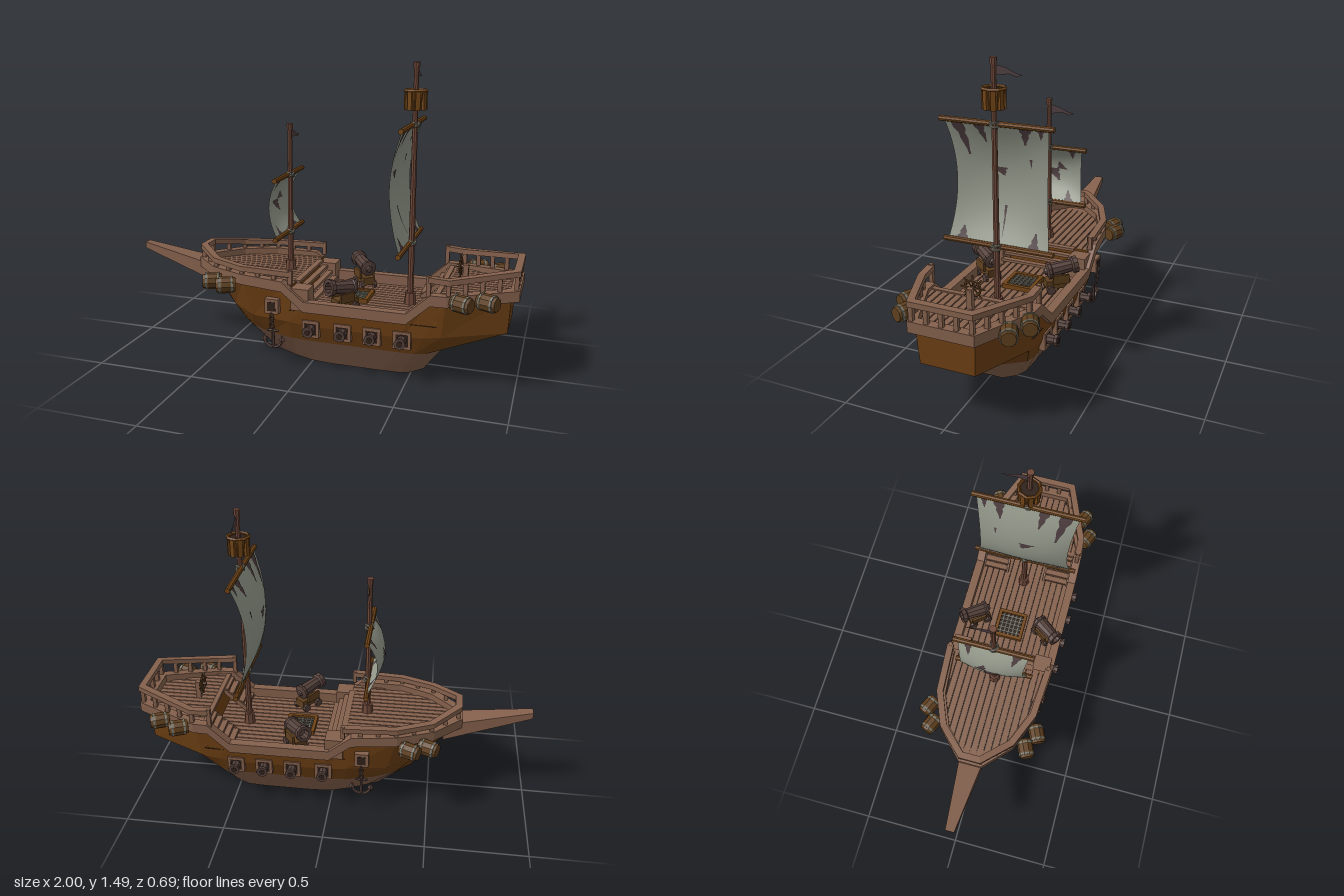
import * as THREE from 'three';

const mat = (name, color, double) => {
  const m = new THREE.MeshStandardMaterial({ color });
  m.name = name;
  if (double) m.side = THREE.DoubleSide;
  return m;
};
const M = {
  hull: mat('hull brown', 0x6e4014, true), wood: mat('weathered wood', 0x84604c, true),
  mast: mat('mast wood', 0x70493a), yard: mat('yard brown', 0x704416),
  sail: mat('sail canvas', 0x93988a, true), torn: mat('torn cloth', 0x4c3c3e, true),
  iron: mat('old iron', 0x54403a), dark: mat('dark gap', 0x2e2019, true),
  rope: mat('rope grey', 0x77766a), barrel: mat('barrel wood', 0x5e3f1e),
};
const V = (x, y, z) => new THREE.Vector3(x, y, z);
const flat = (g) => {
  const f = g.index ? g.toNonIndexed() : g;
  f.computeVertexNormals();
  return f;
};
function add(parent, name, geo, material, p = [0, 0, 0], r = [0, 0, 0], smooth) {
  const m = new THREE.Mesh(smooth ? geo : flat(geo), material);
  m.name = name;
  m.position.set(...p);
  m.rotation.set(...r);
  parent.add(m);
  return m;
}
const group = (parent, name, p = [0, 0, 0], ry = 0) => {
  const g = new THREE.Group();
  g.name = name;
  g.position.set(...p);
  g.rotation.y = ry;
  parent.add(g);
  return g;
};
const box = (x, y, z) => new THREE.BoxGeometry(x, y, z);
const cyl = (a, b, h, n = 8) => new THREE.CylinderGeometry(a, b, h, n);
const mirror = (side) => side.map((p) => V(p.x, p.y, -p.z)).reverse();

// Skin between rows of points
function loft(rows, closed, capFirst) {
  const pos = [], tri = (...ps) => ps.forEach((p) => pos.push(p.x, p.y, p.z));
  const n = rows[0].length;
  for (let r = 0; r + 1 < rows.length; r++)
    for (let i = 0; i < (closed ? n : n - 1); i++) {
      const j = (i + 1) % n, A = rows[r], B = rows[r + 1];
      tri(A[i], A[j], B[j]);
      tri(A[i], B[j], B[i]);
    }
  if (capFirst) for (let i = 1; i + 1 < n; i++) tri(rows[0][0], rows[0][i + 1], rows[0][i]);
  const g = new THREE.BufferGeometry();
  g.setAttribute('position', new THREE.Float32BufferAttribute(pos, 3));
  return g;
}

// Rectangular timber following a path, mitred in plan
function timber(path, w, h, closed) {
  const n = path.length;
  const seg = (a, b) => { const d = b.clone().sub(a).setY(0).normalize(); return V(-d.z, 0, d.x); };
  const side = path.map((p, i) => {
    const hasPrev = closed || i > 0, hasNext = closed || i < n - 1;
    const b = hasNext ? seg(p, path[(i + 1) % n]) : seg(path[i - 1], p);
    const a = hasPrev ? seg(path[(i + n - 1) % n], p) : b;
    return a.clone().add(b).divideScalar(1 + a.dot(b));
  });
  const row = (o, u) => path.map((p, i) => p.clone().addScaledVector(side[i], o * w / 2).add(V(0, u * h / 2, 0)));
  return loft([row(1, -1), row(1, 1), row(-1, 1), row(-1, -1), row(1, -1)], closed);
}

// Half outlines from bow to stern: keel, waterline, knuckle and top
const keel = [[-.235, .03], [-.18, .06], [-.1, .1], [0, .135], [.1, .145], [.35, .145], [.45, .14], [.5, .12], [.55, .06]].map(([x, z]) => V(x, 0, z));
const water = [[-.405, .035], [-.33, .11], [-.22, .17], [-.08, .21], [.03, .218], [.45, .218], [.53, .215], [.58, .2], [.65, .1]].map(([x, z]) => V(x, .14, z));
const knuckle = [[-.51, .28, .04], [-.42, .26, .14], [-.29, .24, .215], [-.09, .24, .25], [.02, .23, .253], [.48, .23, .253], [.58, .24, .25], [.66, .25, .245], [.95, .265, .13]].map((p) => V(...p));
const top = [[-.63, .42, .05], [-.5, .42, .175], [-.33, .42, .245], [-.11, .42, .265], [0, .33, .267], [.5, .33, .267], [.61, .43, .265], [.68, .43, .262], [.96, .45, .14]].map((p) => V(...p));
const ring = (side) => [...side, ...mirror(side)];

function halfWidth(x) {
  for (let i = 0; i + 1 < top.length; i++) {
    const a = top[i], b = top[i + 1];
    if (x >= a.x && x <= b.x) return a.z + (b.z - a.z) * (x - a.x) / (b.x - a.x);
  }
  return 0;
}

function buildHull(ship) {
  const g = group(ship, 'hull');
  add(g, 'lowerHull', loft([ring(keel), ring(water)], true, true), M.wood);
  add(g, 'upperHull', loft([ring(water), ring(knuckle), ring(top)], true), M.hull);
  const gun = top.map((p, i) => V(p.x + (i === 8 ? .015 : 0), p.y + (i < 3 ? .018 : .008), p.z));
  add(g, 'gunwale', timber(ring(gun), .044, .052, true), M.wood);
  // Bowsprit: a box narrowed and raised toward its tip
  const b = box(.44, 1, 1), p = b.attributes.position;
  for (let i = 0; i < p.count; i++) {
    const tip = p.getX(i) < 0, up = p.getY(i) > 0;
    p.setXYZ(i, tip ? -1 : -.56, tip ? (up ? .505 : .472) : (up ? .425 : .335), Math.sign(p.getZ(i)) * (tip ? .023 : .068));
  }
  add(g, 'bowsprit', b, M.wood);
}

// Deck: dark base with separate planks clipped to the outline
function buildDeck(ship, name, x0, x1, y) {
  const g = group(ship, name), pts = [];
  for (let i = 0; i <= 24; i++) { const x = x0 + (x1 - x0) * i / 24; pts.push(V(x, y - .006, halfWidth(x) - .005)); }
  const shape = new THREE.Shape([...pts, ...mirror(pts)].map((p) => new THREE.Vector2(p.x, -p.z)));
  add(g, 'deckBase', new THREE.ShapeGeometry(shape), M.dark, [0, y - .006, 0], [-Math.PI / 2, 0, 0]);
  for (let k = -7; k <= 7; k++) {
    const z = k * .034, edge = Math.abs(z) + .015;
    let a = x0, b = x1;
    while (a < b && halfWidth(a) < edge) a += .005;
    while (b > a && halfWidth(b) < edge) b -= .005;
    if (b - a > .03) add(g, 'plank', box(b - a, .012, .028), M.wood, [(a + b) / 2, y - .005, z]);
  }
}

function buildRail(ship, name, path) {
  const g = group(ship, name);
  add(g, 'handrail', timber(path, .034, .026), M.wood);
  const post = (p, ext = 0) => {
    const base = p.x < 0 ? .44 : .445, h = p.y - base + ext;
    add(g, 'railPost', box(.02, h, .02), M.wood, [p.x, base + h / 2, p.z]);
  };
  path.forEach((p, i) => {
    const end = i === 0 || i === path.length - 1;
    post(p, end ? .016 : 0);
    if (i + 1 === path.length) return;
    const n = Math.max(1, Math.round(p.distanceTo(path[i + 1]) / .08));
    for (let k = 1; k < n; k++) post(p.clone().lerp(path[i + 1], k / n));
  });
}

// Mast with two yards and a bellied, torn sail
function buildRig(ship, name, o) {
  const g = group(ship, name, [o.x, 0, 0]);
  add(g, 'mast', cyl(.012, .016, o.top - o.base), M.mast, [0, (o.top + o.base) / 2, 0]);
  add(g, 'mastCollar', cyl(.026, .03, .06), M.mast, [0, o.base + .03, 0]);
  add(g, 'mastCap', cyl(.017, .015, .03), M.mast, [0, o.top - .015, 0]);
  for (const y of [o.hi, o.lo]) {
    add(g, 'yard', cyl(.013, .013, o.w * 2), M.yard, [-.008, y, 0], [Math.PI / 2, 0, 0]);
    for (const t of [-.4, .4]) add(g, 'lashing', new THREE.TorusGeometry(.021, .006, 5, 10), M.rope, [0, y, 0], [Math.PI / 2 + t, t, 0]);
  }
  const mid = (o.hi + o.lo) / 2, h = (o.hi - o.lo) / 2 - .012, w = o.w - .025;
  const at = (u, v, off = 0) => V(-.012 - o.belly * (1 - v * v) * (.62 + .38 * (1 - u * u)) + off, mid + v * h, u * w * (1 - .1 * (1 - v * v)));
  const bend = (geo, map) => {
    const p = geo.attributes.position;
    for (let i = 0; i < p.count; i++) { const q = map(p.getX(i), p.getY(i)); p.setXYZ(i, q.x, q.y, q.z); }
    geo.computeVertexNormals();
    return geo;
  };
  add(g, 'sail', bend(new THREE.PlaneGeometry(2, 2, 16, 16), (u, v) => at(u, v)), M.sail, [0, 0, 0], [0, 0, 0], true);
  // Tears taper from a wide edge to a tip
  for (const [u, v, du, dv, lean] of o.tears) for (const off of [.003, -.003])
    add(g, 'tear', bend(new THREE.PlaneGeometry(1, 1, 2, 6), (a, b) => {
      const t = b + .5, wob = 1 + .25 * Math.sin(t * 14);
      return at(u + lean * t + a * du * (1 - .85 * t) * wob, v + dv * t, off);
    }), M.torn, [0, 0, 0], [0, 0, 0], true);
  const f = new THREE.Shape([[0, .025], [.05, .014], [.09, -.004], [.125, -.012], [.1, -.022], [.06, -.012], [0, -.022]].map((p) => new THREE.Vector2(...p)));
  add(g, 'flag', new THREE.ShapeGeometry(f), M.torn, [0, o.top - .055, -.01], [0, Math.PI / 2, 0]);
  return g;
}

function buildBarrel(ship, x, y, z, ry) {
  const g = group(ship, 'barrel', [x, y, z], ry), turn = [0, 0, Math.PI / 2];
  const prof = [[0, -.048], [.033, -.048], [.041, -.02], [.041, .02], [.033, .048], [0, .048]].map((p) => new THREE.Vector2(...p));
  add(g, 'barrelBody', new THREE.LatheGeometry(prof, 10), M.barrel, [0, 0, 0], turn);
  for (const d of [-.03, .03]) add(g, 'hoop', cyl(.0415, .0415, .01, 10), M.rope, [d, 0, 0], turn);
}

function buildDeckCannon(ship, s) {
  const g = group(ship, 'deckCannon', [.175, .31, s * .195], -Math.atan2(s * .13, -.1));
  add(g, 'carriage', box(.12, .04, .06), M.barrel, [-.01, .045, 0]);
  for (const z of [-.036, .036]) {
    add(g, 'carriageCheek', box(.08, .045, .012), M.barrel, [0, .075, z]);
    for (const x of [-.05, .035]) add(g, 'wheel', cyl(.022, .022, .014), M.iron, [x, .022, z], [Math.PI / 2, 0, 0]);
  }
  const prof = [[0, -.09], [.015, -.085], [.018, -.075], [.042, -.068], [.042, -.055], [.036, -.05], [.031, .05], [.042, .058], [.042, .08], [.026, .08], [.024, .04], [0, .04]];
  add(g, 'barrelTube', new THREE.LatheGeometry(prof.map((p) => new THREE.Vector2(...p)), 10), M.iron, [.01, .12, 0], [0, 0, -Math.PI / 2 + .15]);
}

function buildSide(ship, s) {
  // Gunports
  for (const x of [.03, .19, .335, .48]) {
    const g = group(ship, 'gunport', [x, .22, s * .25]);
    for (const d of [-.036, .036]) {
      add(g, 'portFrame', box(.014, .086, .03), M.wood, [d, 0, 0]);
      add(g, 'portFrame', box(.086, .014, .03), M.wood, [0, d, 0]);
    }
    add(g, 'portOpening', box(.066, .066, .008), M.dark, [0, 0, s * .005]);
    add(g, 'muzzle', cyl(.02, .024, .06), M.iron, [0, 0, s * .03], [s * Math.PI / 2, 0, 0]);
    add(g, 'muzzleRing', cyl(.028, .028, .016), M.iron, [0, 0, s * .054], [Math.PI / 2, 0, 0]);
    add(g, 'bore', cyl(.016, .016, .004), M.dark, [0, 0, s * .062], [Math.PI / 2, 0, 0]);
  }
  // Anchor on its chain
  const a = group(ship, 'anchor', [-.165, 0, s * .262]);
  add(a, 'anchorMount', box(.07, .075, .04), M.wood, [0, .32, 0]);
  add(a, 'mountOpening', box(.042, .046, .006), M.dark, [0, .32, s * .019]);
  for (let i = 0; i < 5; i++) add(a, 'chainLink', new THREE.TorusGeometry(.012, .004, 5, 8), M.iron, [0, .295 - i * .019, s * .016], [0, (i % 2) * 1.3, 0]);
  add(a, 'shank', cyl(.007, .009, .1, 6), M.iron, [0, .155, 0]);
  add(a, 'stock', cyl(.006, .006, .06, 6), M.iron, [0, .19, 0], [0, 0, Math.PI / 2]);
  add(a, 'anchorArms', new THREE.TorusGeometry(.047, .008, 5, 10, Math.PI), M.iron, [0, .15, 0], [0, 0, Math.PI]);
  for (const d of [-1, 1]) add(a, 'fluke', new THREE.ConeGeometry(.017, .03, 4), M.iron, [d * .047, .155, 0]);
  // Barrels slung outside the rails
  for (const [x, y, z, r] of [[-.49, .41, .255, .42], [-.4, .41, .292, .42], [.755, .442, .292, -.42], [.865, .445, .245, -.42]])
    buildBarrel(ship, x, y, s * z, s * r);
  buildDeckCannon(ship, s);
  // Stairs to the stern deck
  const st = group(ship, 'sternStairs', [0, 0, s * .175]);
  for (let i = 0; i < 5; i++) add(st, 'step', box(.03, .014, .13), M.wood, [.51 + i * .027, .33 + i * .024, 0]);
  for (const z of [-.068, .068]) add(st, 'stringer', box(.18, .022, .012), M.wood, [.565, .37, z], [0, 0, .73]);
  add(ship, 'foreStepBlock', box(.09, .11, .09), M.wood, [-.025, .365, s * .225]);
}

export function createModel() {
  const ship = new THREE.Group();
  ship.name = 'sailingShip';
  buildHull(ship);
  buildDeck(ship, 'foreDeck', -.62, -.07, .43);
  buildDeck(ship, 'mainDeck', -.08, .64, .31);
  buildDeck(ship, 'sternDeck', .63, .955, .445);
  add(ship, 'foreBulkhead', box(.015, .13, .51), M.hull, [-.075, .365, 0]);
  add(ship, 'sternBulkhead', box(.015, .135, .51), M.hull, [.632, .375, 0]);
  add(ship, 'sternBeam', box(.025, .016, .5), M.wood, [.632, .444, 0]);
  for (let i = 0; i < 4; i++) add(ship, 'foreStep', box(.03, .014, .37), M.wood, [-.065 + i * .027, .428 - i * .028, 0]);
  buildRail(ship, 'foreRail', ((s) => [...mirror(s), ...s])([V(-.63, .522, .05), V(-.5, .498, .18), V(-.33, .492, .25), V(-.07, .492, .268)]));
  buildRail(ship, 'sternRail', ring([V(.6, .535, .266), V(.69, .528, .262), V(.98, .563, .14)]));
  const main = buildRig(ship, 'mainRig', {
    x: .463, base: .31, top: 1.49, hi: 1.2, lo: .625, w: .275, belly: .085,
    tears: [[.76, 1, .24, -.58, -.08], [.34, 1, .2, -.32, -.06], [-.56, 1, .22, -.3, .04], [-.85, 1, .12, -.16, 0], [.1, .24, .34, -.14, -.1],
      [-.06, -.4, .05, -.5, 0], [.72, -1, .22, .2, .02], [-.7, -1, .2, .24, -.05], [-.62, .45, .06, -.15, 0]],
  });
  buildRig(ship, 'foreRig', {
    x: -.165, base: .42, top: 1.18, hi: .925, lo: .63, w: .2, belly: .07,
    tears: [[.1, .1, .5, -.45, -.3], [-.3, .1, .35, .3, .1], [.7, 1, .25, -.4, -.08], [-.7, 1, .2, -.35, 0], [-.6, -1, .25, .35, .05], [.65, -1, .2, .3, 0]],
  });
  // Crow's nest
  const nest = group(main, 'crowsNest', [0, 1.315, 0]);
  add(nest, 'nestTub', cyl(.052, .036, .085), M.yard, [0, -.005, 0]);
  for (let i = 0; i < 8; i++) {
    const t = (i + .5) * Math.PI / 4;
    add(nest, 'nestSlat', box(.014, .09, .022), M.yard, [Math.sin(t) * .046, 0, Math.cos(t) * .046], [0, t - Math.PI / 2, 0]);
  }
  add(nest, 'nestRim', new THREE.TorusGeometry(.052, .008, 4, 8), M.yard, [0, .043, 0], [Math.PI / 2, 0, 0]);
  add(nest, 'nestFloor', cyl(.045, .045, .004), M.dark, [0, .037, 0]);
  // Cargo grate
  const grate = group(ship, 'cargoGrate', [.183, .316, -.005]);
  add(grate, 'hatch', box(.14, .008, .14), M.dark);
  for (const d of [-.07, .07]) {
    add(grate, 'hatchFrame', box(.018, .026, .158), M.yard, [d, .004, 0]);
    add(grate, 'hatchFrame', box(.158, .026, .018), M.yard, [0, .004, d]);
  }
  for (let i = -2; i <= 2; i++) {
    add(grate, 'bar', box(.006, .008, .13), M.rope, [i * .023, .006, 0]);
    add(grate, 'bar', box(.13, .008, .006), M.rope, [0, .008, i * .023]);
  }
  // Helm
  const helm = group(ship, 'helm', [.705, .53, 0]);
  add(helm, 'helmPost', box(.026, .1, .026), M.wood, [.025, -.04, 0]);
  add(helm, 'axle', cyl(.008, .008, .06, 6), M.wood, [.01, 0, 0], [0, 0, Math.PI / 2]);
  add(helm, 'wheelRim', new THREE.TorusGeometry(.038, .006, 5, 12), M.barrel, [0, 0, 0], [0, Math.PI / 2, 0]);
  for (let i = 0; i < 4; i++) add(helm, 'spoke', cyl(.004, .004, .12, 5), M.barrel, [0, 0, 0], [i * Math.PI / 4, 0, 0]);
  for (const s of [1, -1]) buildSide(ship, s);
  return ship;
}
